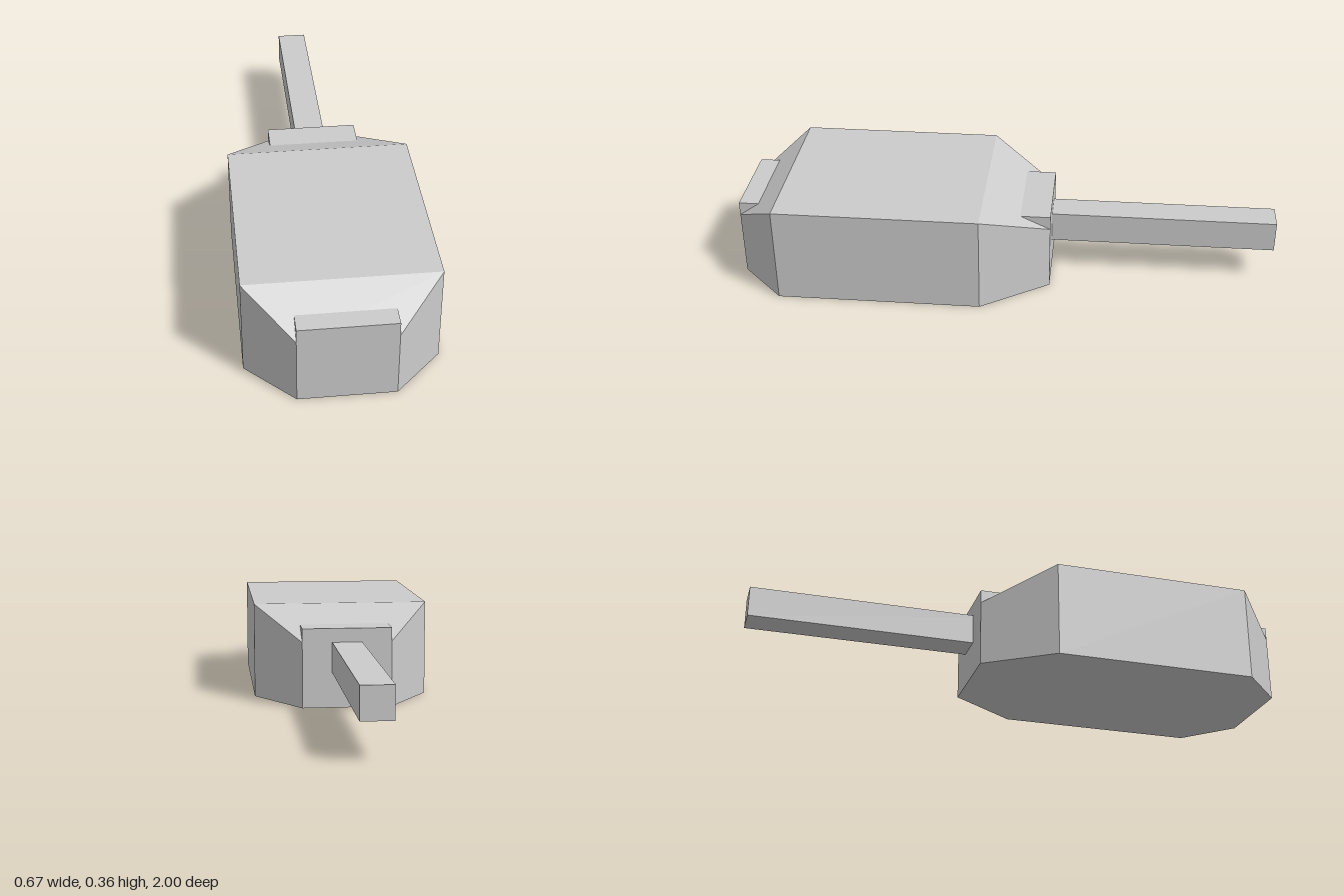
import * as THREE from 'three';

const material = new THREE.MeshStandardMaterial({ color: 0xcccccc, flatShading: true });

// Box given by half width, bottom, top, back z and front z
function block(name, halfWidth, y0, y1, z0, z1) {
  const geometry = new THREE.BoxGeometry(2 * halfWidth, y1 - y0, z1 - z0);
  geometry.translate(0, (y0 + y1) / 2, (z0 + z1) / 2);
  const mesh = new THREE.Mesh(geometry, material);
  mesh.name = name;
  return mesh;
}

// Body: a box with three length segments, each ring fitted to a section
function taperedBody() {
  const sections = [ // z, half width, height, from back to front
    [-0.165, 0.167, 0.247],
    [0.083, 0.333, 0.361],
    [0.835, 0.333, 0.361],
    [1, 0.167, 0.247],
  ];
  const box = new THREE.BoxGeometry(2, 1, 3, 1, 1, 3);
  const position = box.attributes.position;
  for (let i = 0; i < position.count; i++) {
    const [z, halfWidth, height] = sections[Math.round(position.getZ(i) + 1.5)];
    position.setXYZ(i, position.getX(i) * halfWidth, (position.getY(i) + 0.5) * height, z);
  }
  const geometry = box.toNonIndexed();
  geometry.computeVertexNormals();
  const mesh = new THREE.Mesh(geometry, material);
  mesh.name = 'body';
  return mesh;
}

export function createModel() {
  const group = new THREE.Group();
  group.name = 'turret';
  group.add(
    taperedBody(),
    // Core block whose ends rise above the sloped body
    block('core', 0.167, 0, 0.298, -0.165, 1),
    // Square barrel pointing backwards
    block('barrel', 0.056, 0.132, 0.246, -1, -0.1),
  );
  return group;
}
